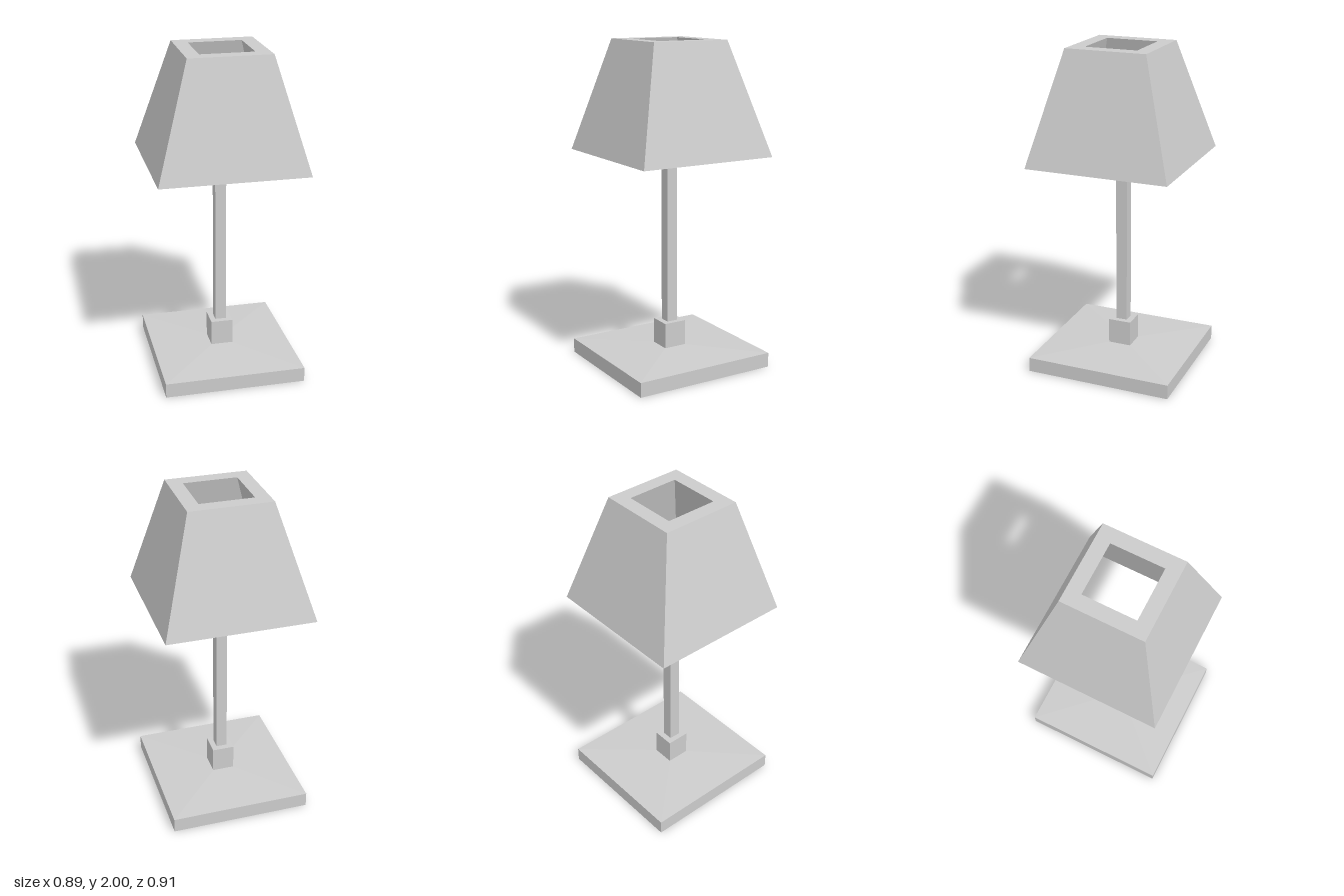
import * as THREE from 'three';

// Rectangular ring, corners counter-clockwise seen from above
const ring = (y, x0, x1, z0, z1) => [[x0, y, z1], [x1, y, z1], [x1, y, z0], [x0, y, z0]];

// Skin a list of rings with flat faces; either cap the ends or join last to first
function loft(rings, closed) {
  const pos = [];
  const quad = (a, b, c, d) => pos.push(...a, ...b, ...c, ...a, ...c, ...d);
  const n = rings.length;
  for (let i = 0; i < (closed ? n : n - 1); i++) {
    const lo = rings[i], hi = rings[(i + 1) % n];
    for (let j = 0; j < 4; j++) {
      const k = (j + 1) % 4;
      quad(lo[j], lo[k], hi[k], hi[j]);
    }
  }
  if (!closed) {
    quad(...rings[n - 1]);
    quad(...[...rings[0]].reverse());
  }
  const g = new THREE.BufferGeometry();
  g.setAttribute('position', new THREE.Float32BufferAttribute(pos, 3));
  g.computeVertexNormals();
  return g;
}

export function createModel() {
  const grey = new THREE.MeshStandardMaterial({ color: 0xcccccc });
  grey.name = 'light grey';
  const model = new THREE.Group();
  model.name = 'tableLamp';
  const add = (name, geometry) => {
    const mesh = new THREE.Mesh(geometry, grey);
    mesh.name = name;
    model.add(mesh);
  };

  // Square foot with a shallow sloping top
  add('base', loft([
    ring(0, -0.43, 0.43, -0.455, 0.455),
    ring(0.09, -0.43, 0.43, -0.455, 0.455),
    ring(0.107, -0.068, 0.068, -0.073, 0.07),
  ]));

  // Block that holds the pole
  add('socketBlock', loft([
    ring(0.1, -0.068, 0.068, -0.073, 0.07),
    ring(0.265, -0.068, 0.068, -0.073, 0.07),
  ]));

  // Square pole ending at the shade's lower rim
  add('pole', loft([
    ring(0.26, -0.034, 0.034, -0.036, 0.034),
    ring(1.32, -0.034, 0.034, -0.036, 0.034),
  ]));

  // Hollow tapered shade: outside, top rim, inside, bottom rim
  add('shade', loft([
    ring(1.32, -0.446, 0.446, -0.439, 0.435),
    ring(2, -0.242, 0.256, -0.239, 0.256),
    ring(2, -0.156, 0.169, -0.152, 0.169),
    ring(1.32, -0.365, 0.365, -0.36, 0.36),
  ], true));

  return model;
}
